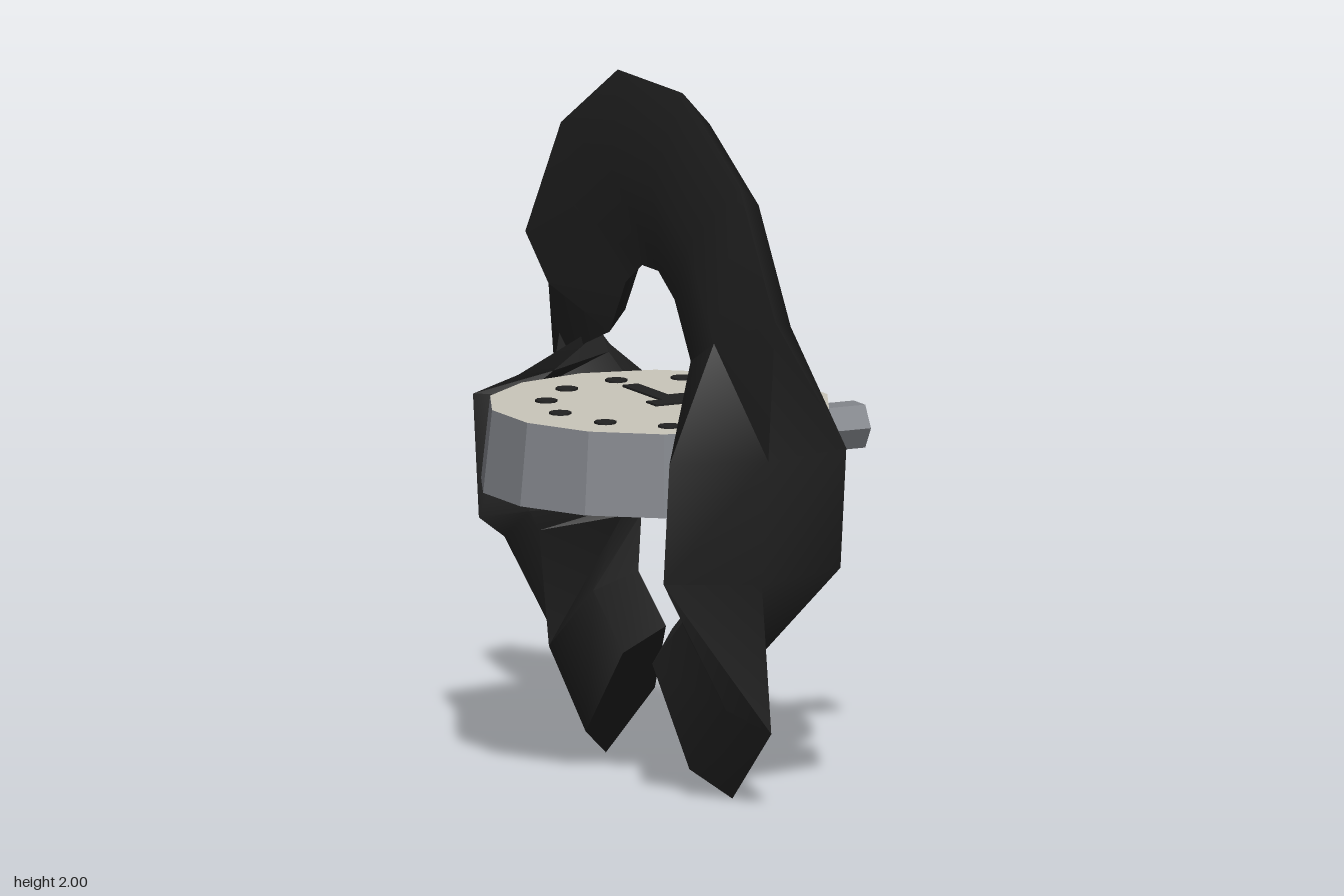
import * as THREE from 'three';
import { toCreasedNormals } from 'three/addons/utils/BufferGeometryUtils.js';

const CX = -0.07; // centre of the case

// D-shaped strap sections as [x, t], t running from the outer to the inner edge
const UPRIGHT = [[-0.1, 0], [0, 0.19], [0, 0.81], [-0.1, 1], [-0.16, 0.5]];
const WIDE = [[0.21, 0.38], [0.1, 1], [-0.24, 1], [-0.35, 0.38], [-0.07, 0]];
const FLIPPED = [[-0.04, 1], [-0.14, 0.81], [-0.14, 0.19], [-0.04, 0], [0.02, 0.5]];

// Stations from the strap top to its end: section, outer [z, y], inner [z, y]
const STATIONS = [
  [UPRIGHT, [0.2, 2.0], [0.05, 1.465]],
  [UPRIGHT, [0.55, 1.79], [0.15, 1.4]],
  [UPRIGHT, [0.77, 1.44], [0.25, 1.24]],
  [WIDE, [0.67, 1.02], [0.5, 1.03]],
  [WIDE, [0.63, 0.66], [0.47, 0.7]],
  [FLIPPED, [0.63, 0.23], [0.19, 0.56]],
  [FLIPPED, [0.39, 0.005], [0.02, 0.43]],
];

function makeRing([section, outer, inner], side) {
  return section.map(([x, t]) => new THREE.Vector3(
    x,
    THREE.MathUtils.lerp(outer[1], inner[1], t),
    side * THREE.MathUtils.lerp(outer[0], inner[0], t),
  ));
}

// A section between two rings, shrunk about its middle
function pinch(a, b, t, scale) {
  const ring = a.map((p, i) => p.clone().lerp(b[i], t));
  const mid = ring.reduce((m, p) => m.add(p), new THREE.Vector3()).divideScalar(ring.length);
  return ring.map((p) => p.sub(mid).multiplyScalar(scale).add(mid));
}

// Skin the rings and close both ends
function loft(rings) {
  const n = rings[0].length;
  const last = (rings.length - 1) * n;
  const index = [];
  for (let i = 0; i < rings.length - 1; i++) {
    for (let j = 0; j < n; j++) {
      const a = i * n + j;
      const b = i * n + (j + 1) % n;
      index.push(a, b, b + n, a, b + n, a + n);
    }
  }
  for (let j = 1; j < n - 1; j++) {
    index.push(0, j + 1, j);
    index.push(last, last + j, last + j + 1);
  }
  const geometry = new THREE.BufferGeometry().setFromPoints(rings.flat());
  geometry.setIndex(index);
  return toCreasedNormals(geometry, 0.8);
}

export function createModel() {
  const model = new THREE.Group();
  const black = new THREE.MeshStandardMaterial({ name: 'black', color: 0x222222 });
  const metal = new THREE.MeshStandardMaterial({ name: 'grey metal', color: 0x83868c });
  const cream = new THREE.MeshStandardMaterial({ name: 'cream', color: 0xcac6ba });

  const add = (name, geometry, material, x = 0, y = 0, z = 0, parent = model) => {
    const mesh = new THREE.Mesh(geometry, material);
    mesh.name = name;
    mesh.position.set(x, y, z);
    parent.add(mesh);
    return mesh;
  };

  // Twisted strap, from the front end over the top to the back end
  const front = STATIONS.map((s) => makeRing(s, 1)).reverse();
  const back = STATIONS.map((s) => makeRing(s, -1));
  back.splice(5, 0, pinch(back[4], back[5], 0.15, 0.85));
  back.splice(3, 0, pinch(back[2], back[3], 0.75, 0.82));
  add('strap', loft([...front, ...back]), black);

  // Tapered case with a cream face above and below
  const caseGeometry = toCreasedNormals(new THREE.CylinderGeometry(0.487, 0.513, 0.236, 14), 0.3);
  caseGeometry.clearGroups();
  const sideCount = 14 * 6;
  caseGeometry.addGroup(0, sideCount, 0);
  caseGeometry.addGroup(sideCount, Infinity, 1);
  add('case', caseGeometry, [metal, cream], CX, 0.96, 0);

  // Hour marks and hands on both faces
  const markGeometry = new THREE.CylinderGeometry(0.032, 0.032, 0.008, 8);
  markGeometry.rotateY(Math.PI / 8);
  for (const [name, y] of [['topDial', 1.08], ['bottomDial', 0.84]]) {
    const dial = new THREE.Group();
    dial.name = name;
    dial.position.set(-0.035, y, 0.03);
    model.add(dial);
    for (let i = 0; i < 12; i++) {
      const a = (i * Math.PI) / 6;
      add('hourMark', markGeometry, black, 0.365 * Math.cos(a), 0, 0.365 * Math.sin(a), dial);
    }
    add('hub', new THREE.BoxGeometry(0.17, 0.008, 0.06), black, 0.01, 0, -0.005, dial);
    add('hourHand', new THREE.BoxGeometry(0.17, 0.008, 0.06), black, 0.06, 0, -0.065, dial);
    add('minuteHand', new THREE.BoxGeometry(0.05, 0.008, 0.26), black, 0, 0, -0.15, dial);
  }

  // Six-sided winding crown
  const crown = new THREE.CylinderGeometry(0.071, 0.071, 0.135, 6);
  crown.rotateZ(-Math.PI / 2);
  add('crown', toCreasedNormals(crown, 0.5), metal, 0.495, 0.96, 0);

  return model;
}
